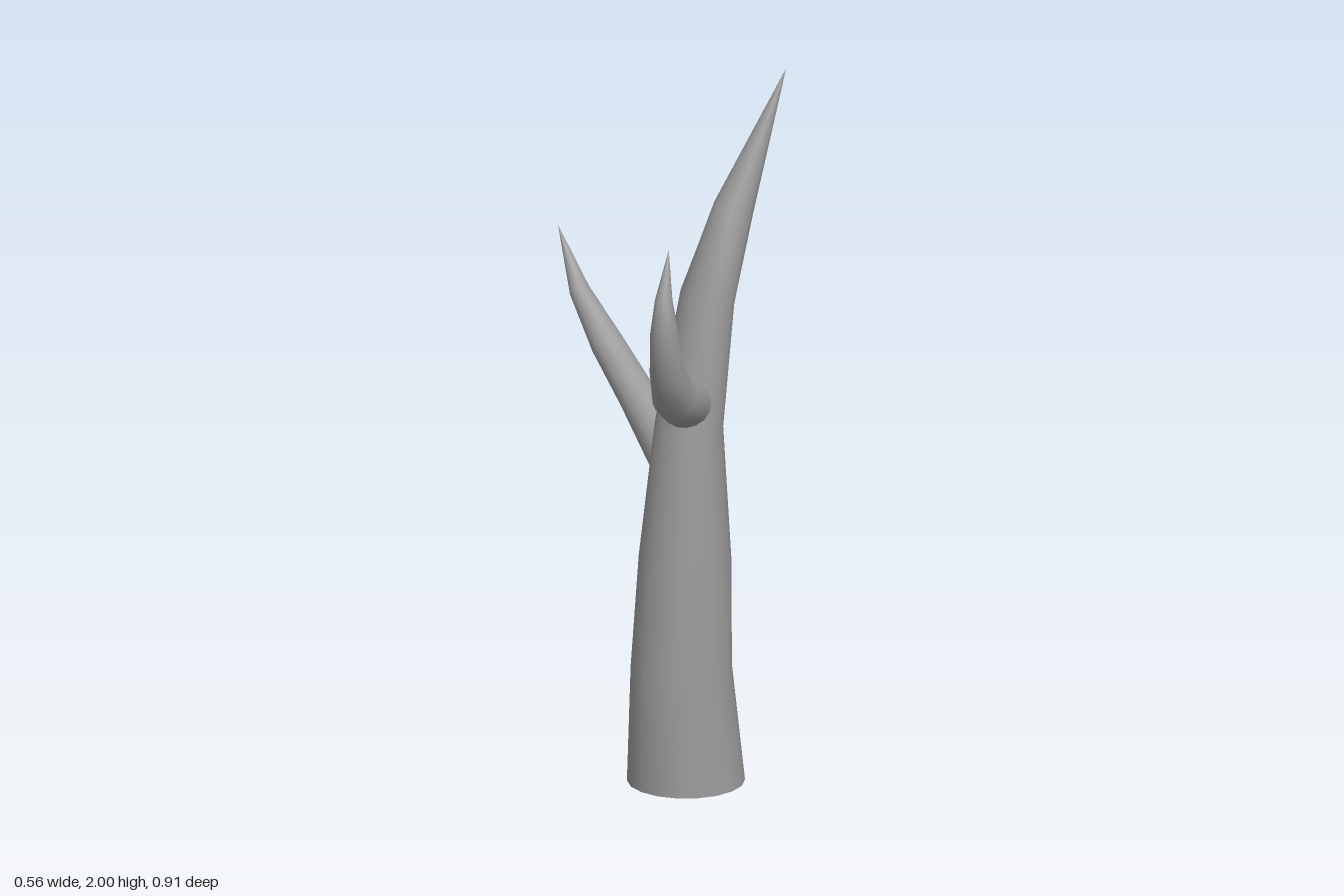
import * as THREE from 'three';

const SIDES = 18;

// Tapered limb through rings [x, y, z, radius, optional radius along ref], with a point at the end
function limb(rings, ref, startDir) {
  const pts = rings.map(r => new THREE.Vector3(r[0], r[1], r[2]));
  const dirs = pts.slice(1).map((p, i) => p.clone().sub(pts[i]).normalize());
  const pos = [], index = [];
  rings.forEach((ring, i) => {
    const t = i === 0 ? (startDir || dirs[0]).clone()
      : i === dirs.length ? dirs[i - 1].clone()
      : dirs[i - 1].clone().add(dirs[i]).normalize();
    const u = ref.clone().addScaledVector(t, -ref.dot(t)).normalize();
    const v = t.clone().cross(u);
    for (let j = 0; j < SIDES; j++) {
      const a = j / SIDES * Math.PI * 2;
      const p = pts[i].clone()
        .addScaledVector(u, Math.cos(a) * (ring[4] ?? ring[3]))
        .addScaledVector(v, Math.sin(a) * ring[3]);
      pos.push(p.x, p.y, p.z);
      if (i < dirs.length) {
        const k = (j + 1) % SIDES, b = i * SIDES, n = b + SIDES;
        index.push(b + j, b + k, n + j, b + k, n + k, n + j);
      }
    }
  });
  const g = new THREE.BufferGeometry();
  g.setAttribute('position', new THREE.Float32BufferAttribute(pos, 3));
  g.setIndex(index);
  g.computeVertexNormals();
  return g;
}

export function createModel() {
  const group = new THREE.Group();
  group.name = 'bareTree';
  const bark = new THREE.MeshStandardMaterial({ color: 0x9a9a9a });
  bark.name = 'grey bark';
  const add = (name, geometry) => {
    const mesh = new THREE.Mesh(geometry, bark);
    mesh.name = name;
    group.add(mesh);
    return mesh;
  };

  // Trunk, leaning to one side as it narrows to a point
  add('trunk', limb([
    [-0.045, 0, 0.217, 0.162],
    [-0.06, 0.335, 0.217, 0.139],
    [-0.048, 0.65, 0.217, 0.127],
    [-0.035, 1.03, 0.217, 0.093, 0.097],
    [0.024, 1.385, 0.217, 0.071, 0.088],
    [0.109, 1.63, 0.217, 0.056, 0.056],
    [0.277, 2, 0.217, 0.0005],
  ], new THREE.Vector3(0, 0, 1), new THREE.Vector3(0, 1, 0)));

  // Flat underside of the trunk
  const base = add('trunkBase', new THREE.CircleGeometry(0.162, SIDES));
  base.rotation.set(Math.PI / 2, 0, Math.PI / 2);
  base.position.set(-0.045, 0, 0.217);

  // Hooked branch curling upward at the front
  add('hookedBranch', limb([
    [-0.03, 1.09, 0.215, 0.076],
    [-0.085, 1.12, 0.27, 0.074],
    [-0.165, 1.168, 0.35, 0.062],
    [-0.22, 1.272, 0.4, 0.048],
    [-0.241, 1.39, 0.42, 0.039],
    [-0.242, 1.485, 0.419, 0.024],
    [-0.205, 1.61, 0.385, 0.0005],
  ], new THREE.Vector3(0.7, 0, 0.7)));

  // Long branch rising toward the back
  add('backBranch', limb([
    [-0.04, 0.89, 0.2, 0.078],
    [-0.04, 0.935, 0.13, 0.074],
    [-0.038, 1.037, -0.05, 0.053],
    [-0.042, 1.145, -0.2, 0.046],
    [-0.042, 1.255, -0.34, 0.029],
    [-0.04, 1.41, -0.455, 0.0005],
  ], new THREE.Vector3(1, 0, 0)));

  return group;
}
